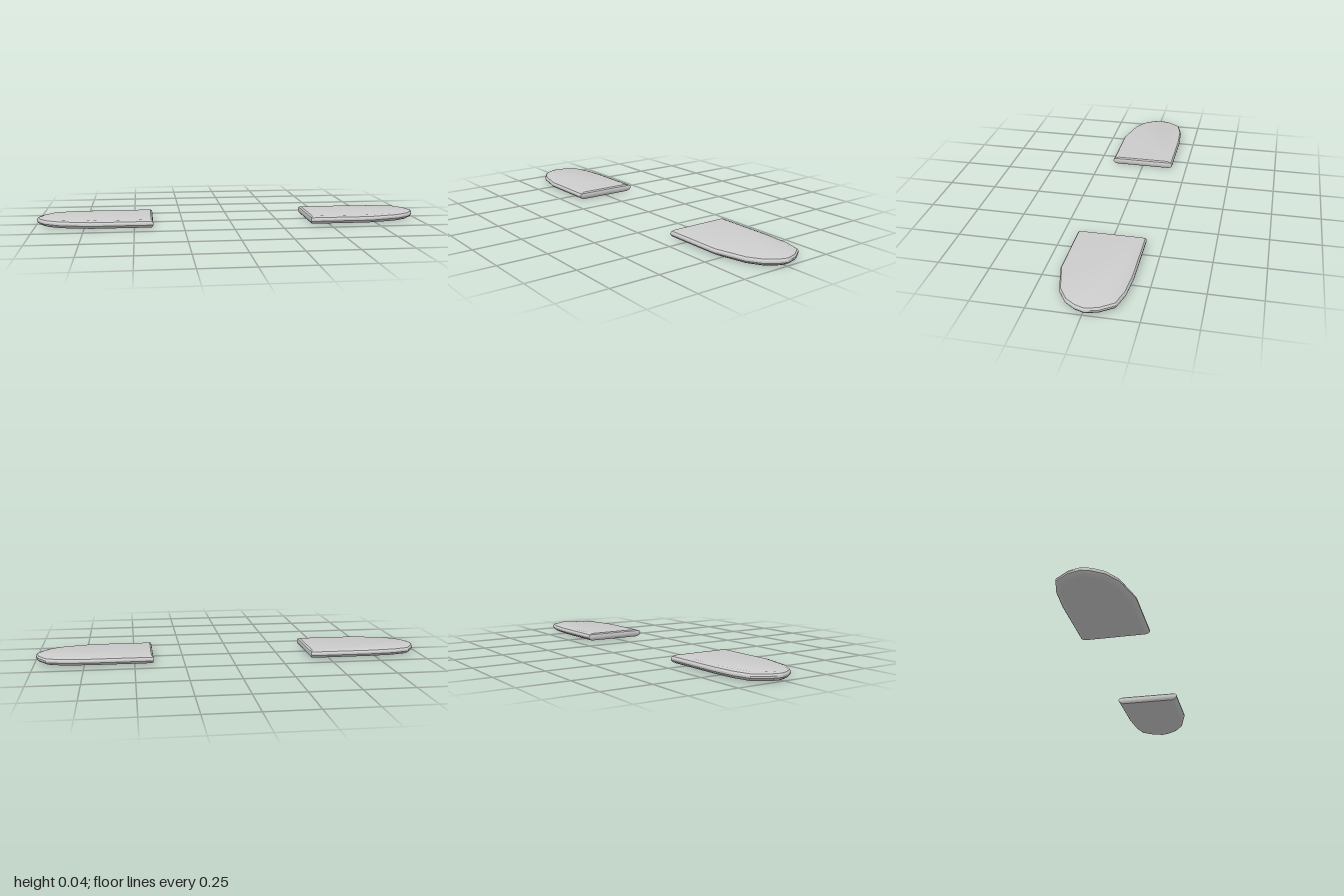
import * as THREE from 'three';
import { toCreasedNormals } from 'three/addons/utils/BufferGeometryUtils.js';

const INNER = 0.405; // x of the straight inner edge

// Half outline seen from above (x, z), from the inner back corner round the tip
const outline = [
  [INNER, -0.17], [0.72, -0.17], [0.85, -0.16], [0.94, -0.135], [0.985, -0.07], [1, -0.01],
  [0.985, 0.035], [0.95, 0.085], [0.88, 0.13], [0.72, 0.17], [INNER, 0.17],
];

// Rounded rim: [inset, height] from the underside to the top
const rim = [[0.021, 0], [0.006, 0.008], [0, 0.016], [0, 0.025], [0.006, 0.034], [0.026, 0.04]];

// Closed slab: one ring of the outline per rim step, plus flat caps
function leafGeometry(side) {
  const n = outline.length;
  const pos = [], index = [];
  const face = (a, b, c) => (side > 0 ? index.push(a, b, c) : index.push(a, c, b));

  for (const [inset, y] of rim) {
    const edge = inset * 0.4; // the straight edge is rounded more tightly
    for (const [x, z] of outline) {
      const px = INNER + edge + (x - INNER) * (1 - (inset + edge) / (1 - INNER));
      pos.push(side * px, y, z * (1 - inset / 0.17));
    }
  }
  for (let r = 0; r < rim.length - 1; r++) {
    for (let i = 0; i < n; i++) {
      const a = r * n + i, b = r * n + (i + 1) % n;
      face(a, a + n, b);
      face(b, a + n, b + n);
    }
  }
  // Underside and top caps as fans
  const top = (rim.length - 1) * n;
  for (let i = 1; i < n - 1; i++) {
    face(0, i, i + 1);
    face(top, top + i + 1, top + i);
  }

  const g = new THREE.BufferGeometry();
  g.setAttribute('position', new THREE.Float32BufferAttribute(pos, 3));
  g.setIndex(index);
  return toCreasedNormals(g, 0.45);
}

export function createModel() {
  const group = new THREE.Group();
  group.name = 'pairOfRoundedLeaves';
  const material = new THREE.MeshStandardMaterial({ color: 0xcccccc });

  for (const [name, side] of [['leftLeaf', 1], ['rightLeaf', -1]]) {
    const leaf = new THREE.Mesh(leafGeometry(side), material);
    leaf.name = name;
    group.add(leaf);
  }
  return group;
}
